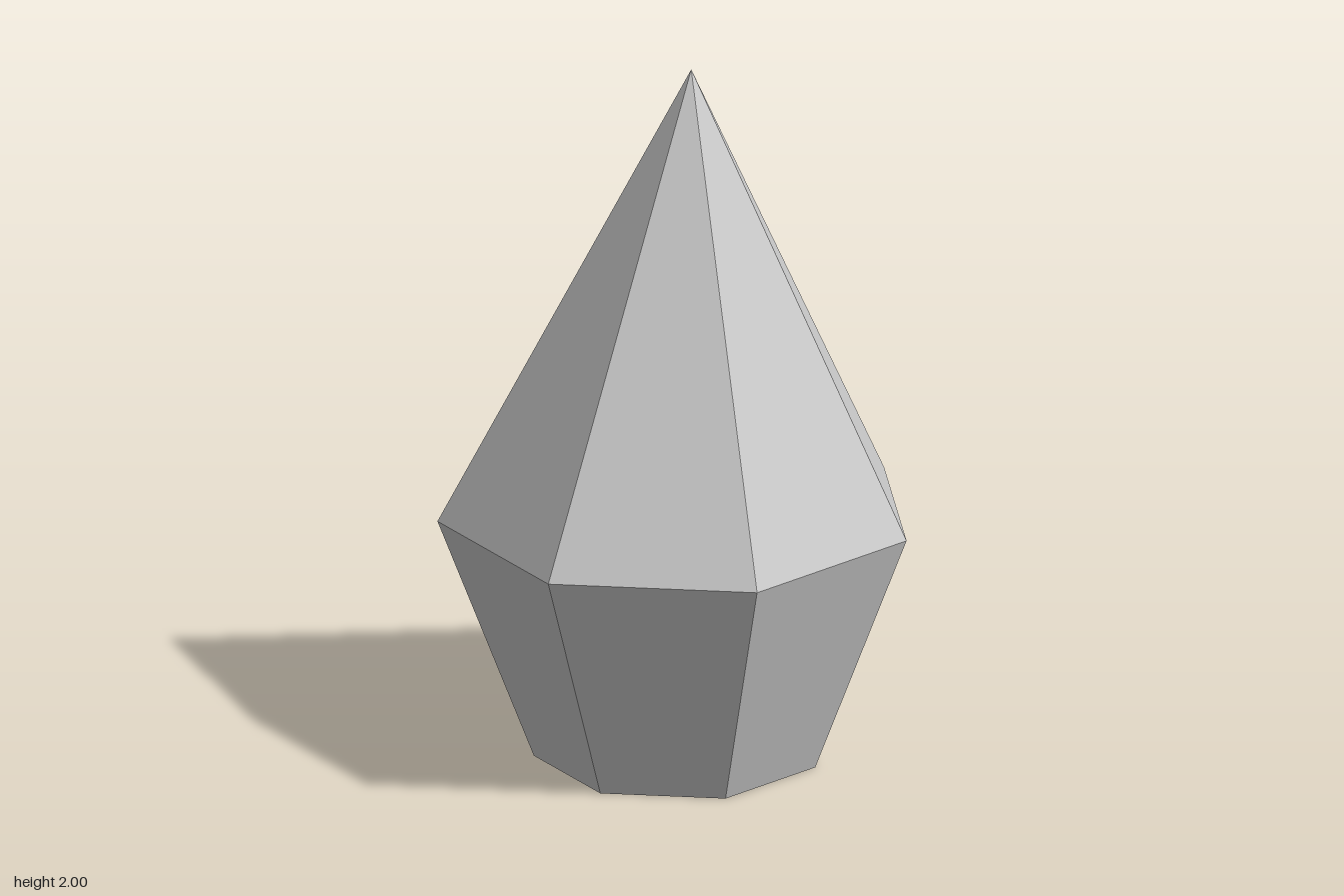
import * as THREE from 'three';

const SIDES = 7;
const START = 1.154; // turn of the heptagon about y
const BELT_Y = 0.7, TOP_Y = 2, BELT_R = 0.667, FOOT_R = 0.4;

const material = new THREE.MeshStandardMaterial({ color: 0xcccccc, flatShading: true });

// Seven-sided faceted surface turned from a [radius, height] profile
function facetedLathe(profile) {
  const points = profile.map(([r, y]) => new THREE.Vector2(r, y));
  return new THREE.LatheGeometry(points, SIDES, START);
}

function addPart(group, name, geometry) {
  const flat = geometry.toNonIndexed();
  flat.computeVertexNormals();
  const mesh = new THREE.Mesh(flat, material);
  mesh.name = name;
  group.add(mesh);
}

export function createModel() {
  const group = new THREE.Group();
  group.name = 'facetedCrystal';

  // Closed foot flaring up to the belt
  addPart(group, 'base', facetedLathe([[0, 0], [FOOT_R, 0], [BELT_R, BELT_Y]]));

  // Pointed crown, its tip leaning slightly off centre
  const crown = facetedLathe([[BELT_R, BELT_Y], [0, TOP_Y]]);
  const pos = crown.attributes.position;
  for (let i = 0; i < pos.count; i++) {
    const t = (pos.getY(i) - BELT_Y) / (TOP_Y - BELT_Y);
    pos.setX(i, pos.getX(i) + 0.02 * t);
    pos.setZ(i, pos.getZ(i) - 0.03 * t);
  }
  addPart(group, 'crown', crown);

  // Centre the bounds on x and z
  group.position.set(0.027, 0, 0.003);
  const model = new THREE.Group();
  model.name = 'crystal';
  model.add(group);
  return model;
}
